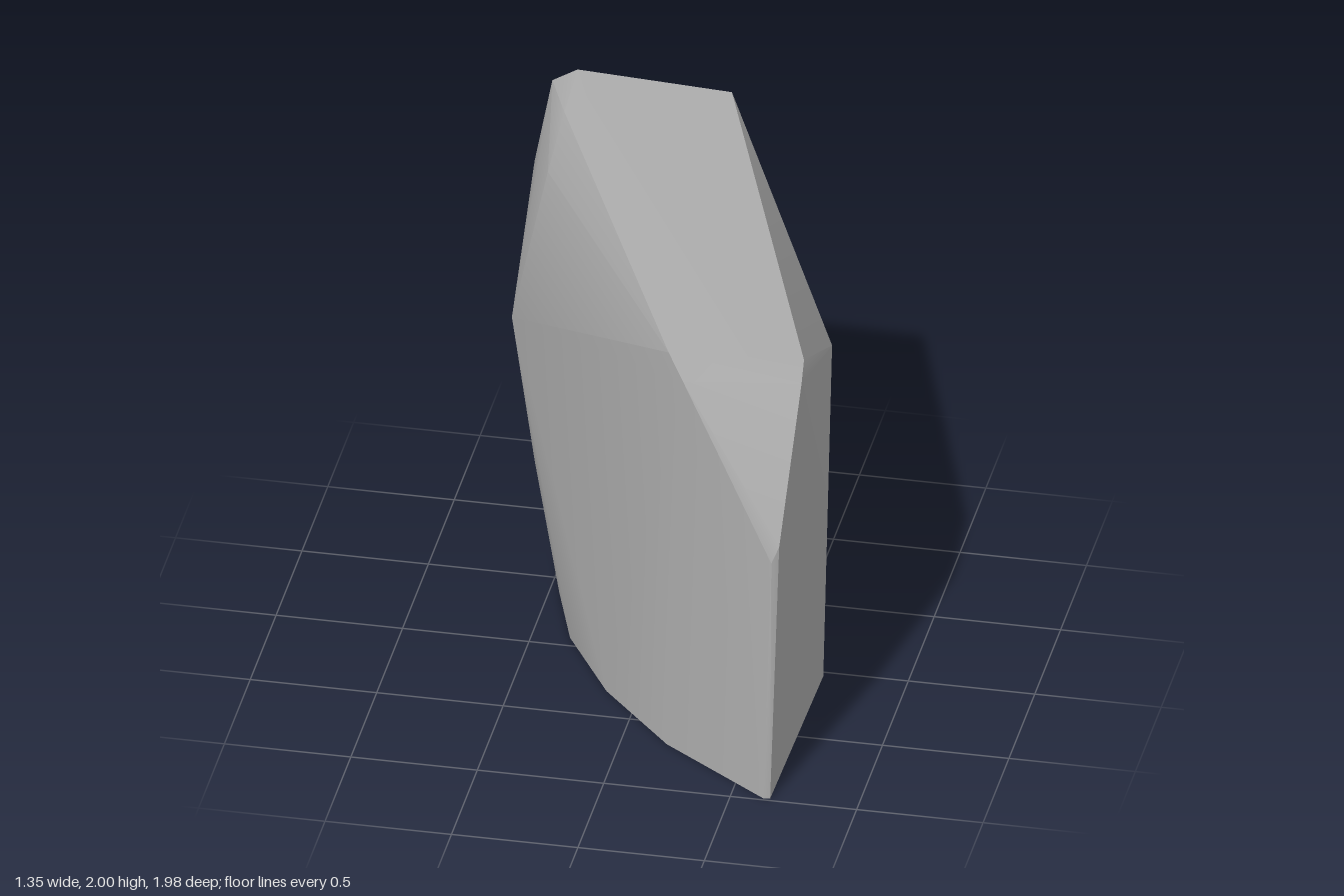
import * as THREE from 'three';
import { ConvexGeometry } from 'three/addons/geometries/ConvexGeometry.js';
import { toCreasedNormals } from 'three/addons/utils/BufferGeometryUtils.js';

// Corner rings of the chiselled boulder, each corner as [x, y, z]
const base = [
  [0.1, 0, -0.99], [0.67, 0, 0.03], [0.655, 0, 0.985], [0.63, 0, 0.99],
  [0.18, 0, 0.66], [-0.13, 0, 0.31], [-0.35, 0, -0.06], [-0.46, 0, -0.39], [-0.52, 0, -0.99],
];
const flanks = [
  [-0.68, 0.22, -0.99], [-0.68, 1.57, -0.99], [-0.68, 1.12, -0.55], [-0.55, 1.755, -0.61],
  [0.63, 0.97, 0.84], [0.655, 1.03, 0.81], [0.67, 1.39, -0.14],
];
const crown = [
  [-0.61, 1.94, -0.99], [-0.51, 2, -0.99], [0.1, 1.97, -0.99], [-0.52, 1.93, -0.78],
  [0.13, 1.595, 0.38], [0.21, 1.535, 0.49], [0.67, 1.56, 0.45], [0.655, 1.595, 0.33],
];

export function createModel() {
  const group = new THREE.Group();
  group.name = 'rock';

  const stone = new THREE.MeshStandardMaterial({ color: 0xa6a6a6 });
  stone.name = 'stone grey';

  // One convex block, soft across shallow bends and sharp at the chiselled edges
  const corners = [...base, ...flanks, ...crown].map((p) => new THREE.Vector3(...p));
  const boulder = new THREE.Mesh(toCreasedNormals(new ConvexGeometry(corners), 0.5), stone);
  boulder.name = 'boulder';
  group.add(boulder);
  return group;
}
